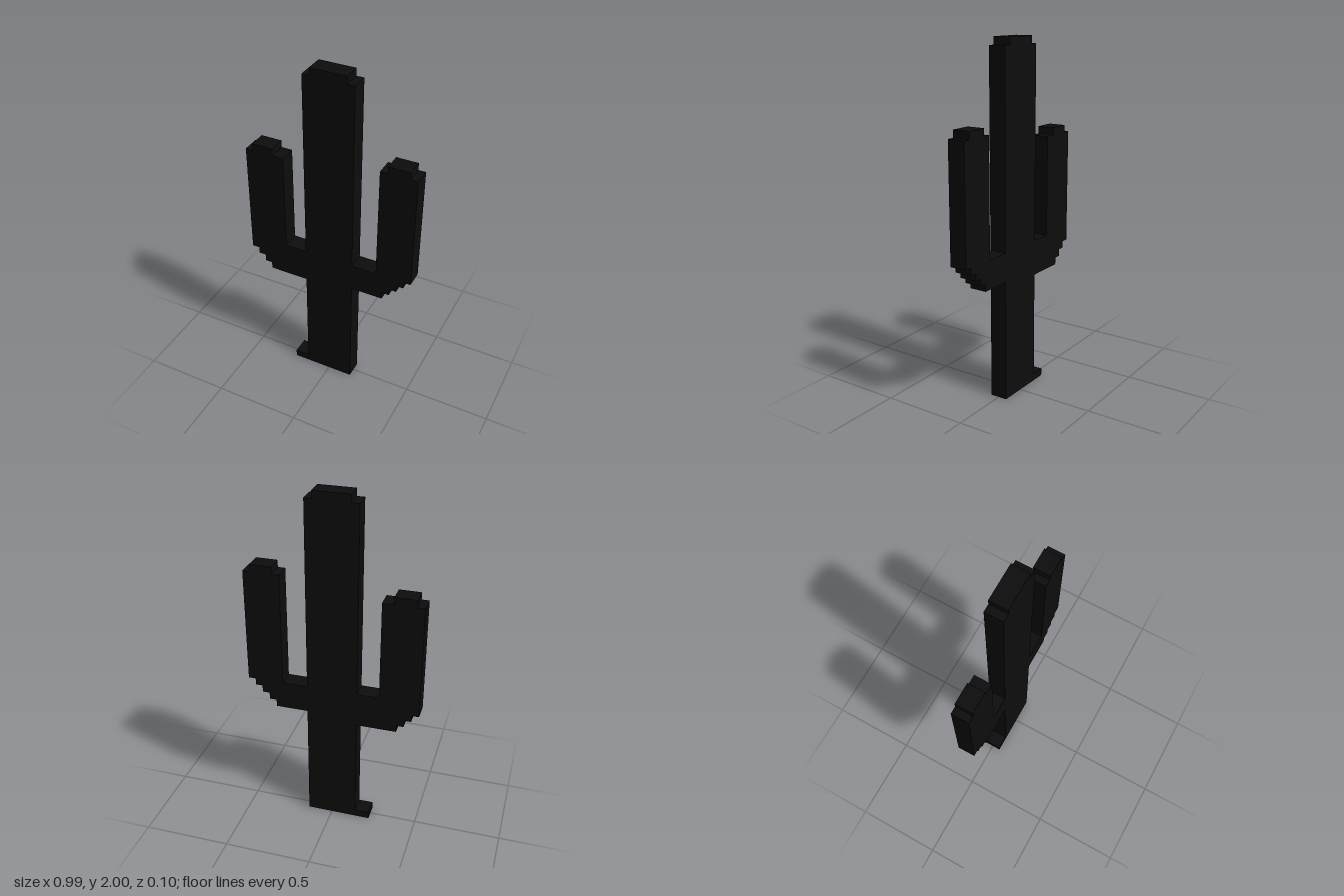
import * as THREE from 'three';

const DEPTH = 0.1;
const TRUNK = 0.144; // half width of the trunk
const material = new THREE.MeshStandardMaterial({ color: 0x0d0d0d, flatShading: true });

// Flat slab cut from a stepped outline (counter-clockwise), centred on z = 0
function slab(name, points) {
  const shape = new THREE.Shape(points.map(([x, y]) => new THREE.Vector2(x, y)));
  const geometry = new THREE.ExtrudeGeometry(shape, { depth: DEPTH, bevelEnabled: false });
  geometry.translate(0, 0, -DEPTH / 2);
  const mesh = new THREE.Mesh(geometry, material);
  mesh.name = name;
  return mesh;
}

// Arm outline: stepped elbow below, upright branch, one-step cap on top.
// side is +1 or -1; elbow lists the [x, y] corners from the underside outwards.
function arm(name, side, { inner, outer, capInner, capOuter, shoulder, top, elbow }) {
  const crook = 0.866;
  const points = [[TRUNK, elbow[0][1]]];
  elbow.forEach(([x, y], i) => {
    points.push([x, y]);
    points.push([x, i + 1 < elbow.length ? elbow[i + 1][1] : shoulder]);
  });
  points.push(
    [capOuter, shoulder], [capOuter, top], [capInner, top], [capInner, shoulder],
    [inner, shoulder], [inner, crook], [TRUNK, crook],
  );
  return slab(name, points.map(([x, y]) => [x * side, y]));
}

export function createModel() {
  const group = new THREE.Group();
  group.name = 'cactus';

  // Trunk with a narrower cap and a small foot on one side
  group.add(slab('trunk', [
    [-0.228, 0], [TRUNK, 0], [TRUNK, 1.958], [0.102, 1.958], [0.102, 2],
    [-0.102, 2], [-0.102, 1.958], [-TRUNK, 1.958], [-TRUNK, 0.042], [-0.228, 0.042],
  ]));

  group.add(arm('leftArm', 1, {
    inner: 0.287, outer: 0.492, capInner: 0.329, capOuter: 0.451,
    shoulder: 1.525, top: 1.566,
    elbow: [[0.329, 0.703], [0.37, 0.745], [0.411, 0.785], [0.451, 0.826], [0.492, 0.866]],
  }));

  group.add(arm('rightArm', -1, {
    inner: 0.269, outer: 0.496, capInner: 0.332, capOuter: 0.454,
    shoulder: 1.442, top: 1.483,
    elbow: [[0.372, 0.662], [0.413, 0.703], [0.454, 0.745], [0.496, 0.785]],
  }));

  return group;
}
